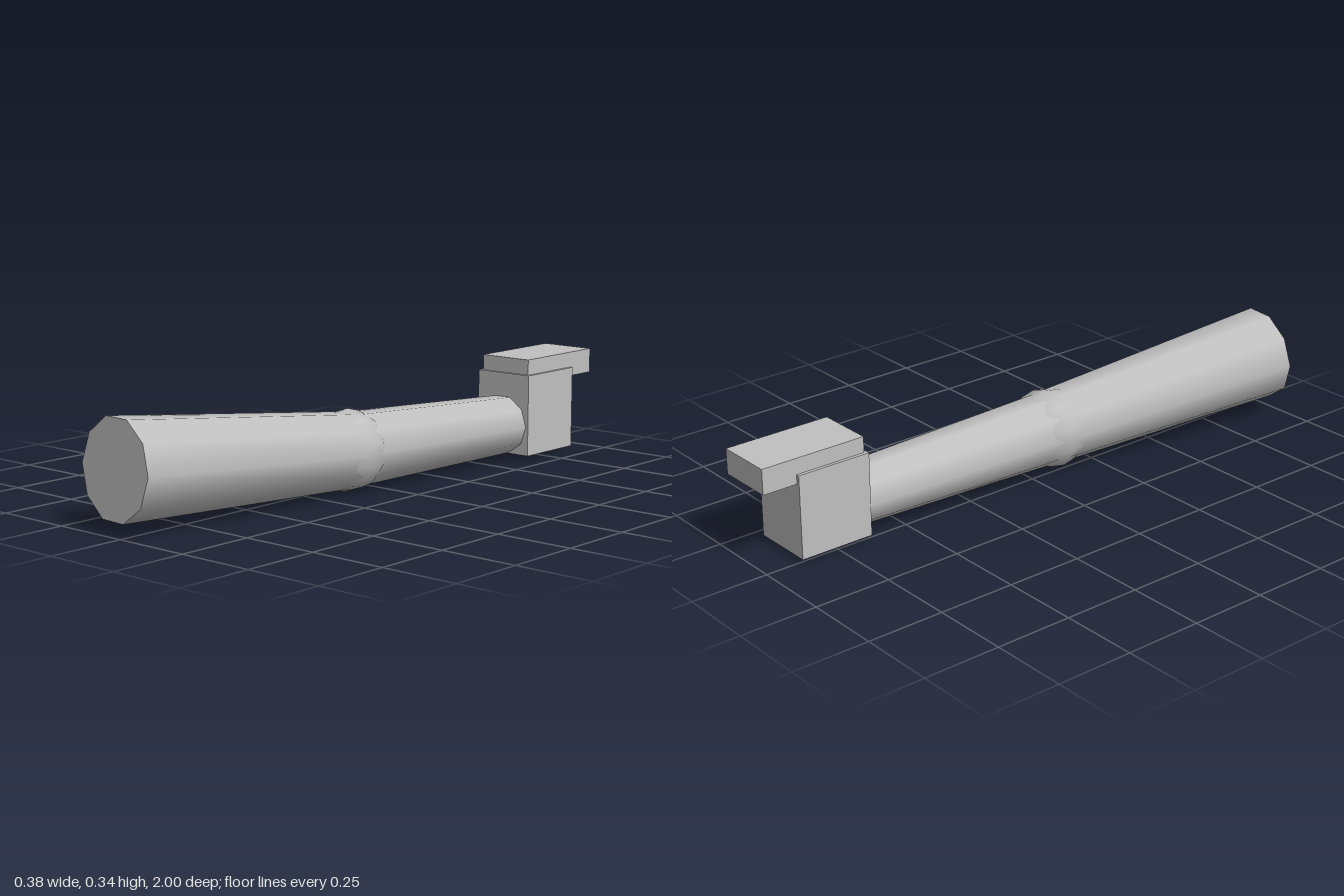
import * as THREE from 'three';

export function createModel() {
  const model = new THREE.Group();
  const grey = new THREE.MeshStandardMaterial({ color: 0xc0c0c0 });
  grey.name = 'grey';

  const shoulder = new THREE.Vector3(-0.037, 0.192, 0.982);
  const elbow = new THREE.Vector3(0.05, 0.131, 0.11);
  const wrist = new THREE.Vector3(0.084, 0.113, -0.65);
  const forward = new THREE.Vector3(0, 0, 1);

  function add(name, geometry, position) {
    const mesh = new THREE.Mesh(geometry, grey);
    mesh.name = name;
    mesh.position.copy(position);
    model.add(mesh);
    return mesh;
  }

  // Tapered ten-sided limb segment between two joints
  function limb(name, back, front, rBack, rFront) {
    const axis = front.clone().sub(back);
    const geometry = new THREE.CylinderGeometry(rFront, rBack, axis.length(), 10, 1, false, Math.PI / 2);
    geometry.rotateX(Math.PI / 2);
    const mesh = add(name, geometry, back.clone().add(front).multiplyScalar(0.5));
    mesh.quaternion.setFromUnitVectors(forward, axis.normalize());
  }

  function box(name, min, max) {
    const a = new THREE.Vector3(...min), b = new THREE.Vector3(...max);
    const size = b.clone().sub(a);
    add(name, new THREE.BoxGeometry(size.x, size.y, size.z), a.add(b).multiplyScalar(0.5));
  }

  limb('upperArm', elbow, shoulder, 0.121, 0.155);
  limb('forearm', wrist, elbow, 0.098, 0.119);

  // Elbow ball, its corners showing between the limb edges
  const ball = new THREE.SphereGeometry(0.13, 10, 8);
  ball.rotateY(Math.PI / 10).rotateX(Math.PI / 2);
  add('elbow', ball, elbow).quaternion.setFromUnitVectors(
    forward, shoulder.clone().sub(wrist).normalize());

  // Hand
  box('palm', [-0.017, 0.017, -0.885], [0.191, 0.287, -0.638]);
  box('fingers', [-0.006, 0.257, -1.0], [0.181, 0.338, -0.648]);

  return model;
}
